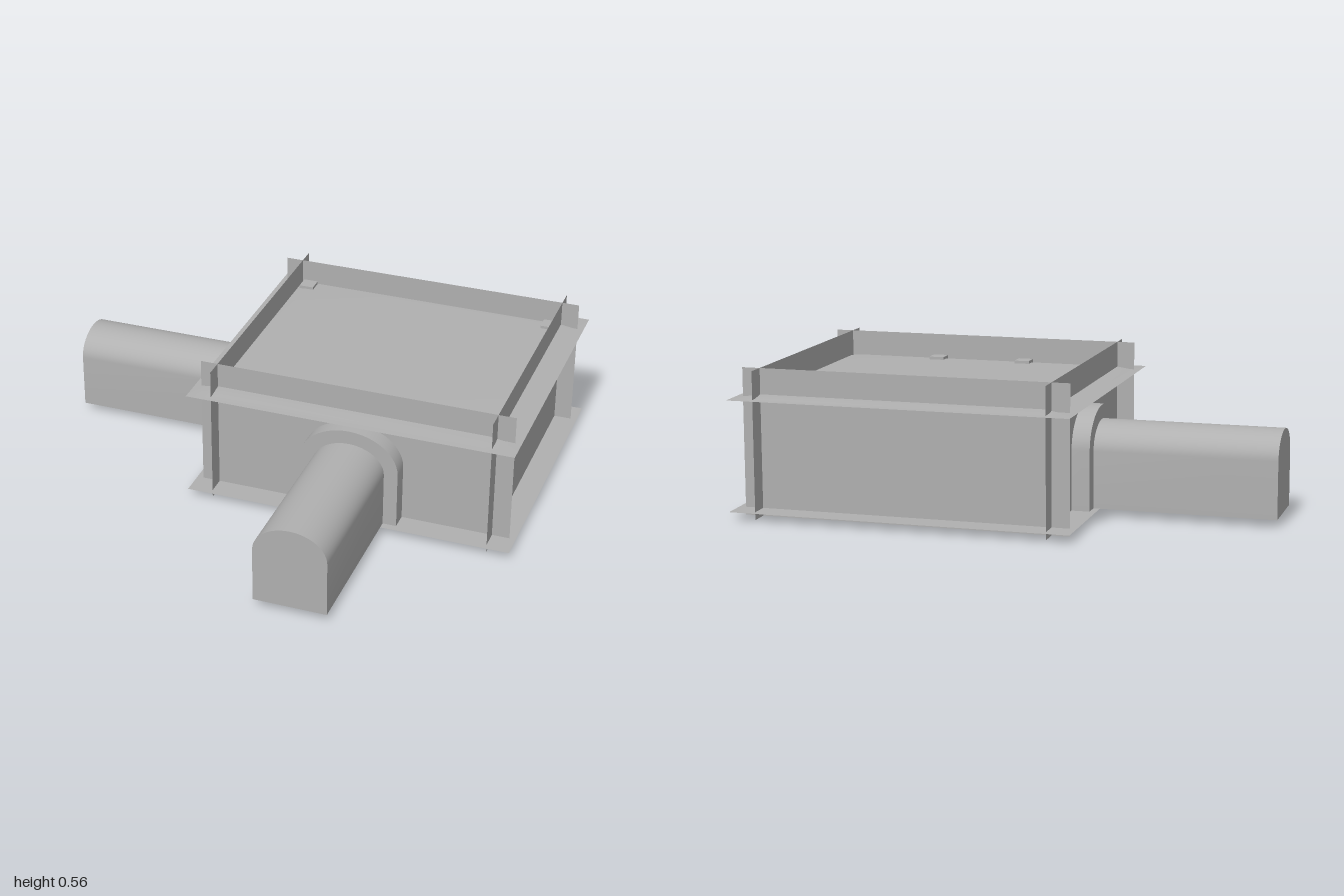
import * as THREE from 'three';
import { toCreasedNormals } from 'three/addons/utils/BufferGeometryUtils.js';

const CX = 0.335, CZ = -0.315;          // room centre
const WALL_X = 0.565, WALL_Z = 0.485;   // wall planes, measured from the centre
const HALF_X = 0.66, HALF_Z = 0.585;    // floor and ceiling half sizes
const FLOOR_Y = 0.03;

// Round-topped doorway outline: straight sides, then half an ellipse
function traceArch(path, halfWidth, spring, top) {
  path.moveTo(-halfWidth, FLOOR_Y);
  path.lineTo(halfWidth, FLOOR_Y);
  path.lineTo(halfWidth, spring);
  path.absellipse(0, spring, halfWidth, top - spring, 0, Math.PI, false, 0);
  path.lineTo(-halfWidth, FLOOR_Y);
  return path;
}

function extrude(shape, depth) {
  const g = new THREE.ExtrudeGeometry(shape, { depth, bevelEnabled: false, curveSegments: 12 });
  return toCreasedNormals(g, Math.PI / 5);
}

// Sheet with a low rim, a short slope and a raised middle
function ceilingGeometry() {
  const insets = [0, 0.045, 0.125];
  const heights = [0.455, 0.457, 0.469];
  const g = new THREE.PlaneGeometry(1, 1, 5, 5).rotateX(-Math.PI / 2);
  const p = g.attributes.position;
  for (let i = 0; i < p.count; i++) {
    const col = i % 6, row = Math.floor(i / 6);
    const a = Math.min(col, 5 - col), b = Math.min(row, 5 - row);
    p.setXYZ(i,
      (col < 3 ? -1 : 1) * (HALF_X - insets[a]),
      heights[Math.min(a, b)],
      (row < 3 ? -1 : 1) * (HALF_Z - insets[b]));
  }
  g.computeVertexNormals();
  return g;
}

export function createModel() {
  const model = new THREE.Group();
  const stone = new THREE.MeshStandardMaterial({ color: 0xb0b0b0, side: THREE.DoubleSide });
  stone.name = 'grey stone';

  function add(name, geometry, x = 0, y = 0, z = 0, parent = model) {
    const mesh = new THREE.Mesh(geometry, stone);
    mesh.name = name;
    mesh.position.set(x, y, z);
    parent.add(mesh);
    return mesh;
  }

  // Floor and ceiling sheets overhang the walls
  add('floor', new THREE.PlaneGeometry(2 * HALF_X, 2 * HALF_Z).rotateX(-Math.PI / 2), CX, FLOOR_Y, CZ);
  add('ceiling', ceilingGeometry(), CX, 0, CZ);

  // Crossing wall sheets run past the corners, the floor and the ceiling
  const longWall = new THREE.PlaneGeometry(1.27, 0.565);
  const sideWall = new THREE.PlaneGeometry(1.12, 0.565).rotateY(Math.PI / 2);
  add('frontWall', longWall, CX, 0.2825, CZ + WALL_Z);
  add('backWall', longWall, CX, 0.2825, CZ - WALL_Z);
  add('leftWall', sideWall, CX + WALL_X, 0.2825, CZ);
  add('rightWall', sideWall, CX - WALL_X, 0.2825, CZ);

  // Vaulted passage with an arched surround, running out along +z before turning
  function passage(name, halfWidth, top, length, frameHalf, frameTop) {
    const group = new THREE.Group();
    group.name = name;
    add(name + 'Tunnel', extrude(traceArch(new THREE.Shape(), halfWidth, 0.25, top), length), 0, 0, 0, group);
    const frame = traceArch(new THREE.Shape(), frameHalf, 0.26, frameTop);
    frame.holes.push(traceArch(new THREE.Path(), halfWidth - 0.002, 0.25, top - 0.002));
    add(name + 'Frame', extrude(frame, 0.11), 0, 0, -0.04, group);
    model.add(group);
    return group;
  }
  const front = passage('frontPassage', 0.145, 0.36, 0.72, 0.2, 0.415);
  front.position.set(CX, 0, CZ + WALL_Z);
  const side = passage('sidePassage', 0.128, 0.35, 0.77, 0.185, 0.405);
  side.position.set(CX - WALL_X, 0, -0.34);
  side.rotation.y = -Math.PI / 2;

  // Square columns whose heads poke through the ceiling
  const column = new THREE.BoxGeometry(0.06, 0.45, 0.06);
  for (const [x, z] of [[0.152, 0.138], [0.515, 0.138], [-0.19, -0.762], [0.86, -0.762]]) {
    add('column', column, x, 0.255, z);
  }
  return model;
}
